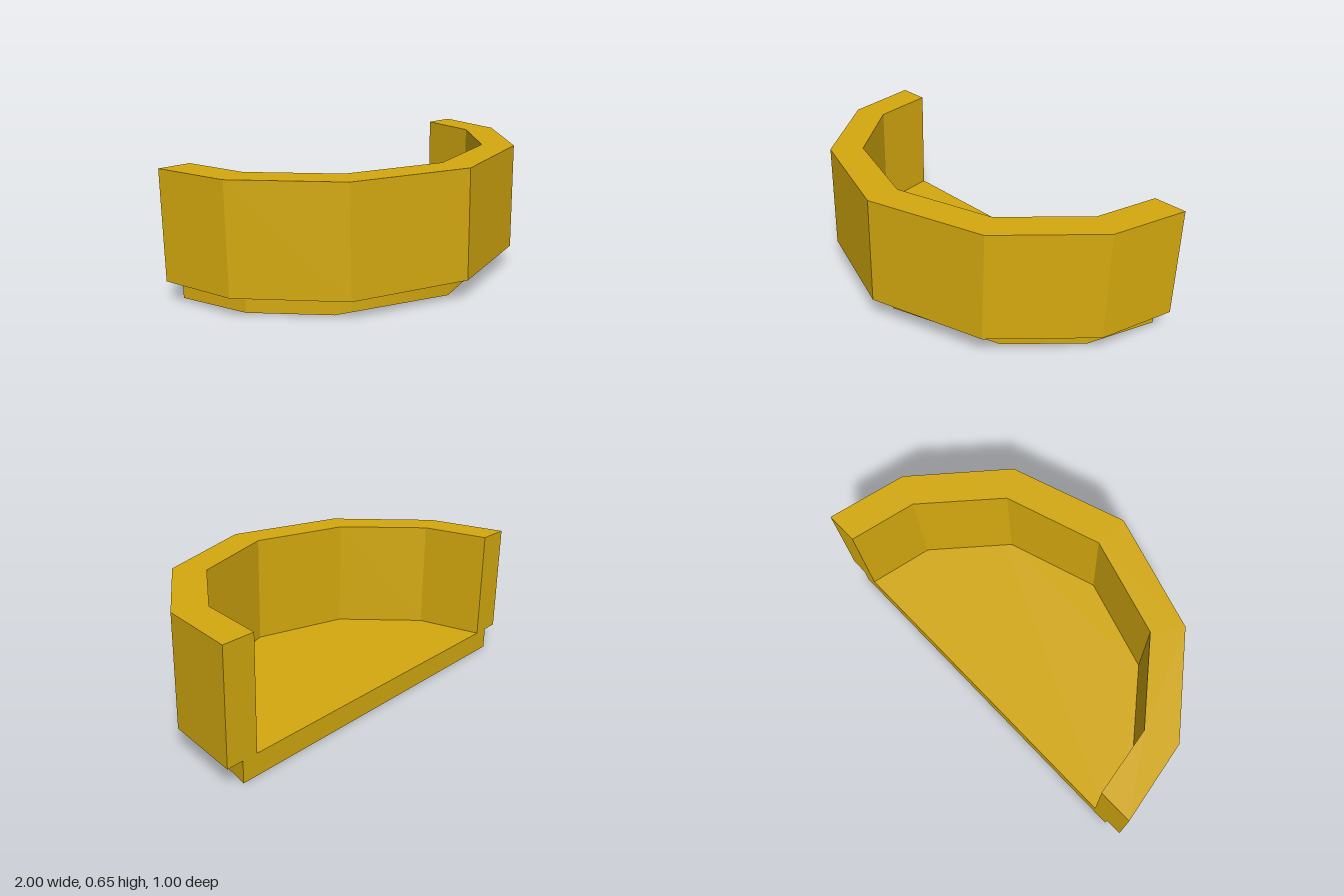
import * as THREE from 'three';

// Half outlines in plan [x, z], from the rear corner to the front centre
const OUTER = [[1, -0.5], [0.925, -0.105], [0.575, 0.315], [0, 0.5]];
const INNER = [[0.835, -0.5], [0.775, -0.17], [0.48, 0.18], [0, 0.33]];
const BASE = [[0.915, -0.5], [0.82, -0.133], [0.555, 0.18], [0, 0.38]];

// Mirror a half outline into a full arc running from +x to -x
function fullArc(half) {
  const mirrored = half.slice(0, -1).reverse().map(([x, z]) => [-x, z]);
  return [...half, ...mirrored];
}

// Extrude a plan outline upwards from y0 to y1
function slab(points, y0, y1) {
  const shape = new THREE.Shape(points.map(([x, z]) => new THREE.Vector2(x, -z)));
  const geometry = new THREE.ExtrudeGeometry(shape, { depth: y1 - y0, bevelEnabled: false });
  geometry.rotateX(-Math.PI / 2);
  geometry.translate(0, y0, 0);
  return geometry;
}

// Round the shading across the front facets, keeping the straight flanks crisp
function smoothFront(geometry) {
  const pos = geometry.attributes.position;
  const normal = geometry.attributes.normal;
  for (let i = 0; i < pos.count; i++) {
    const x = pos.getX(i);
    const frontFacet = normal.getZ(i) > 0.4 && Math.abs(normal.getY(i)) < 0.5;
    if (!frontFacet || Math.abs(x) > 0.8) continue;
    const angle = Math.abs(x) < 0.01 ? 0 : Math.sign(x) * 0.6;
    normal.setXYZ(i, Math.sin(angle), 0, Math.cos(angle));
  }
  return geometry;
}

export function createModel() {
  const group = new THREE.Group();
  group.name = 'balcony';
  const ochre = new THREE.MeshStandardMaterial({ color: 0xd4a90f });
  ochre.name = 'ochre';

  // Floor slab, slightly inset under the wall
  const floor = new THREE.Mesh(smoothFront(slab(fullArc(BASE), 0, 0.106)), ochre);
  floor.name = 'floorSlab';

  // Thick faceted parapet, open at the back
  const ring = [...fullArc(OUTER), ...fullArc(INNER).reverse()];
  const wall = new THREE.Mesh(slab(ring, 0.106, 0.647), ochre);
  wall.name = 'parapetWall';

  group.add(floor, wall);
  return group;
}
